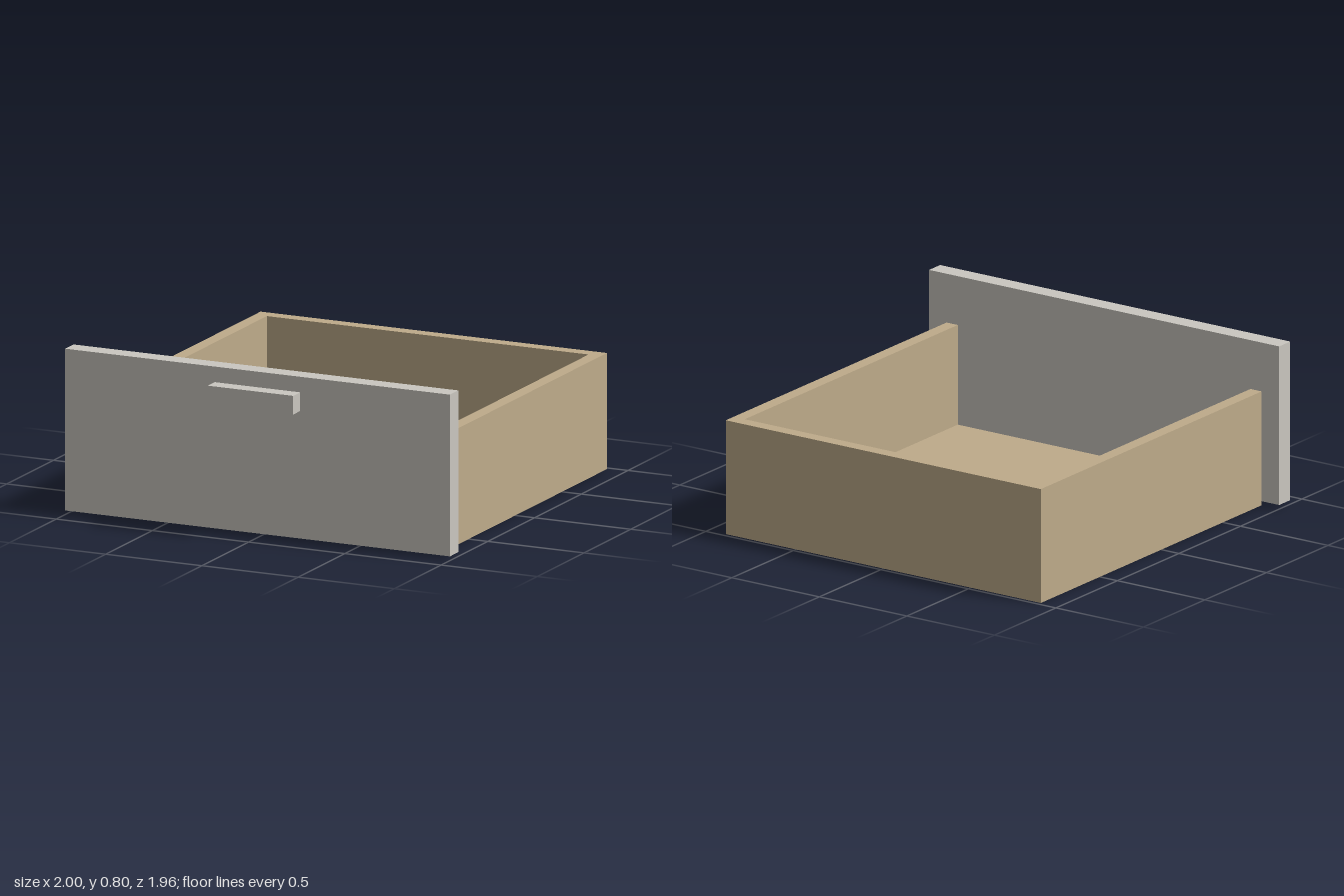
import * as THREE from 'three';

export function createModel() {
  const wood = new THREE.MeshStandardMaterial({ color: 0xbeab8a });
  wood.name = 'lightWood';
  const paint = new THREE.MeshStandardMaterial({ color: 0xcac7c0 });
  paint.name = 'paleGrey';

  const model = new THREE.Group();
  model.name = 'drawer';

  // Box given by its minimum and maximum corners
  const addBox = (name, material, min, max) => {
    const size = max.map((v, i) => v - min[i]);
    const mesh = new THREE.Mesh(new THREE.BoxGeometry(...size), material);
    mesh.position.set(...max.map((v, i) => (v + min[i]) / 2));
    mesh.name = name;
    model.add(mesh);
  };

  const half = 0.9, wall = 0.064, height = 0.56;
  const back = -0.98, front = 0.815, inner = half - wall;

  // Tray: floor, back and two sides, closed at the front by the panel
  addBox('floor', wood, [-inner, 0, back + wall], [inner, 0.07, front]);
  addBox('backWall', wood, [-inner, 0, back], [inner, height, back + wall]);
  addBox('leftWall', wood, [inner, 0, back], [half, height, front]);
  addBox('rightWall', wood, [-half, 0, back], [-inner, height, front]);

  // Front panel and handle
  addBox('frontPanel', paint, [-1, 0.02, front], [1, 0.8, 0.905]);
  addBox('handle', paint, [-0.222, 0.635, 0.905], [0.222, 0.725, 0.98]);

  return model;
}
